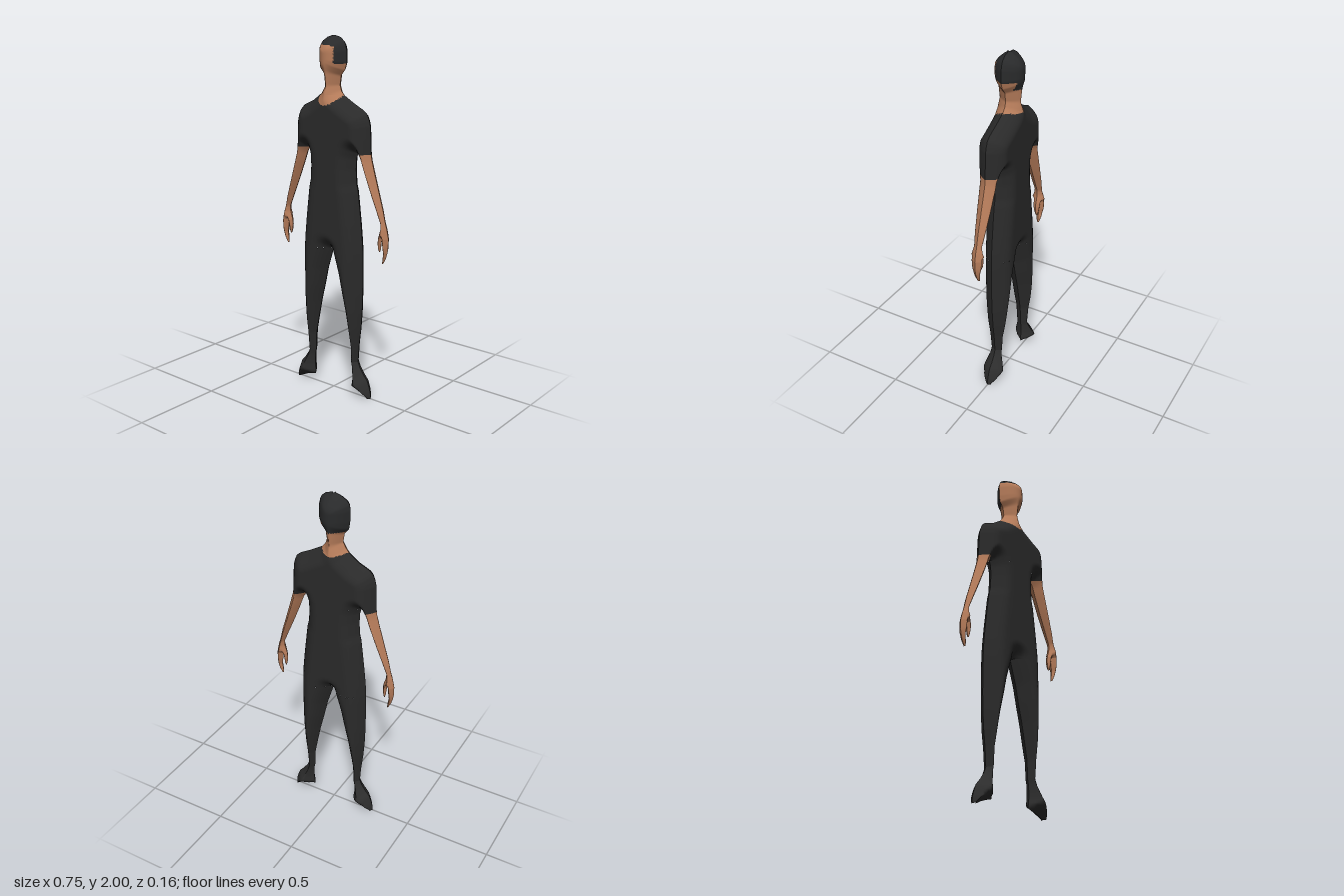
import * as THREE from 'three';

const mat = (name, color) => {
  const m = new THREE.MeshStandardMaterial({ color });
  m.name = name;
  return m;
};

// Bands of the figure: rows of [y, left edge x, right edge x], from top to bottom
const HEAD = [[2, -0.005, 0.008], [1.99, -0.04, 0.047], [1.97, -0.073, 0.07], [1.95, -0.088, 0.08],
  [1.92, -0.093, 0.087], [1.86, -0.091, 0.088], [1.82, -0.085, 0.075], [1.79, -0.06, 0.05],
  [1.74, -0.053, 0.042], [1.71, -0.07, 0.052], [1.69, -0.085, 0.07]];
const TORSO = [[1.69, -0.085, 0.07], [1.65, -0.14, 0.14], [1.62, -0.205, 0.2], [1.6, -0.227, 0.225],
  [1.57, -0.24, 0.238], [1.54, -0.247, 0.246], [1.47, -0.25, 0.25], [1.39, -0.253, 0.253]];
const WAIST = [[1.39, -0.168, 0.168], [1.36, -0.157, 0.157], [1.3, -0.154, 0.154], [1.22, -0.158, 0.158],
  [1.18, -0.168, 0.168], [1.1, -0.178, 0.178], [1, -0.19, 0.19], [0.9, -0.2, 0.2], [0.84, -0.204, 0.204]];
const LEG = [[0.84, 0, 0.204], [0.8, 0.012, 0.205], [0.7, 0.043, 0.205], [0.6, 0.065, 0.205],
  [0.5, 0.09, 0.202], [0.4, 0.11, 0.195], [0.3, 0.129, 0.183], [0.2, 0.132, 0.176]];
const FOOT = [[0.2, 0.132, 0.176], [0.17, 0.138, 0.188], [0.13, 0.141, 0.215], [0.1, 0.141, 0.242],
  [0.06, 0.135, 0.257], [0.042, 0.135, 0.262], [0.034, 0.165, 0.264], [0.02, 0.205, 0.266], [0, 0.245, 0.266]];
const ARM = [[1.39, 0.168, 0.253], [1.36, 0.188, 0.258], [1.3, 0.21, 0.275], [1.2, 0.25, 0.305],
  [1.1, 0.293, 0.335], [1.03, 0.322, 0.352], [1, 0.322, 0.362], [0.95, 0.307, 0.373]];
const THUMB = [[0.95, 0.307, 0.333], [0.92, 0.305, 0.327], [0.89, 0.308, 0.324], [0.87, 0.314, 0.319]];
const FINGERS = [[0.95, 0.333, 0.373], [0.9, 0.338, 0.372], [0.87, 0.343, 0.367],
  [0.84, 0.338, 0.358], [0.81, 0.335, 0.343]];

const mirror = (rows) => rows.map(([y, a, b]) => [y, -b, -a]);

// Distance from a point to a segment
function segDist(x, y, [ax, ay, bx, by]) {
  const dx = bx - ax, dy = by - ay;
  const t = Math.min(1, Math.max(0, ((x - ax) * dx + (y - ay) * dy) / (dx * dx + dy * dy)));
  return Math.hypot(x - ax - t * dx, y - ay - t * dy);
}

// Resample a band to evenly fine rows, keeping its own rows
function refine(rows, step) {
  const out = [rows[0]];
  for (let i = 1; i < rows.length; i++) {
    const p = rows[i - 1], q = rows[i];
    const n = Math.max(1, Math.round((p[0] - q[0]) / step));
    for (let k = 1; k <= n; k++) out.push(p.map((v, c) => v + ((q[c] - v) * k) / n));
  }
  return out;
}

export function createModel() {
  const skin = mat('skin', 0xb67c5a);
  const cloth = mat('darkCloth', 0x2a2a2a);
  const hair = mat('hair', 0x292a2b);
  const shoe = mat('shoe', 0x2d2d2d);

  // Hair covers the crown, the left side and the back of the head
  const headColour = (x, y, s) => {
    if (s > 0) {
      if (y > 1.952 - Math.max(0, x) * 0.2) return 1;
      return x > 0.043 && y > 1.855 ? 1 : 0;
    }
    return y > (x > 0.035 ? 1.855 : 1.805) ? 1 : 0;
  };
  // Scooped neckline at the front, shallow one at the back
  const shirtColour = (x, y, s) => {
    const line = s > 0 ? 1.635 + 0.055 * ((x + 0.008) / 0.08) ** 2 : 1.678 + 0.012 * (x / 0.08) ** 2;
    return y > line ? 1 : 0;
  };

  const parts = [
    ['head', HEAD, [skin, hair], headColour, 0.006, 32],
    ['shirtChest', TORSO, [cloth, skin], shirtColour, 0.006, 56],
    ['shirtWaistAndHips', WAIST, [cloth]],
  ];
  for (const [name, rows, m] of [['Leg', LEG, cloth], ['Shoe', FOOT, shoe], ['Arm', ARM, skin],
    ['Thumb', THUMB, skin], ['Fingers', FINGERS, skin]]) {
    parts.push(['left' + name, rows, [m]], ['right' + name, mirror(rows), [m]]);
  }

  // Silhouette segments of all bands; the seam between thumb and fingers opens below the palm
  const outline = [];
  for (const [, rows] of parts) {
    for (let i = 1; i < rows.length; i++) {
      for (const c of [1, 2]) outline.push([rows[i - 1][c], rows[i - 1][0], rows[i][c], rows[i][0]]);
    }
  }
  // Rounded thickness that grows with distance from the silhouette
  const depth = (x, y) => {
    let d = 1;
    for (const s of outline) d = Math.min(d, segDist(x, y, s));
    const t = Math.min(1, d / 0.088);
    return 0.079 * (1 - (1 - t) ** 2);
  };

  const model = new THREE.Group();
  model.name = 'standingFigure';
  for (const [name, rows, mats, pick = () => 0, step = 0.012, cols = 28] of parts) {
    const fine = refine(rows, step);
    const pos = [], faces = mats.map(() => []);
    for (const side of [1, -1]) {
      const base = pos.length / 3;
      for (const [y, a, b] of fine) {
        for (let j = 0; j <= cols; j++) {
          const x = a + ((b - a) * (1 - Math.cos((Math.PI * j) / cols))) / 2;
          pos.push(x, y, side * depth(x, y));
        }
      }
      const add = (...tri) => {
        const mid = (c) => tri.reduce((sum, v) => sum + pos[v * 3 + c], 0) / 3;
        faces[pick(mid(0), mid(1), side)].push(...(side > 0 ? tri : tri.reverse()));
      };
      for (let i = 0; i < fine.length - 1; i++) {
        for (let j = 0; j < cols; j++) {
          const p = base + i * (cols + 1) + j, q = p + cols + 1;
          add(p, q, q + 1);
          add(p, q + 1, p + 1);
        }
      }
    }
    const geo = new THREE.BufferGeometry();
    geo.setAttribute('position', new THREE.Float32BufferAttribute(pos, 3));
    geo.setIndex(faces.flat());
    let start = 0;
    faces.forEach((f, i) => {
      geo.addGroup(start, f.length, i);
      start += f.length;
    });
    geo.computeVertexNormals();
    const mesh = new THREE.Mesh(geo, mats.length > 1 ? mats : mats[0]);
    mesh.name = name;
    model.add(mesh);
  }
  return model;
}
